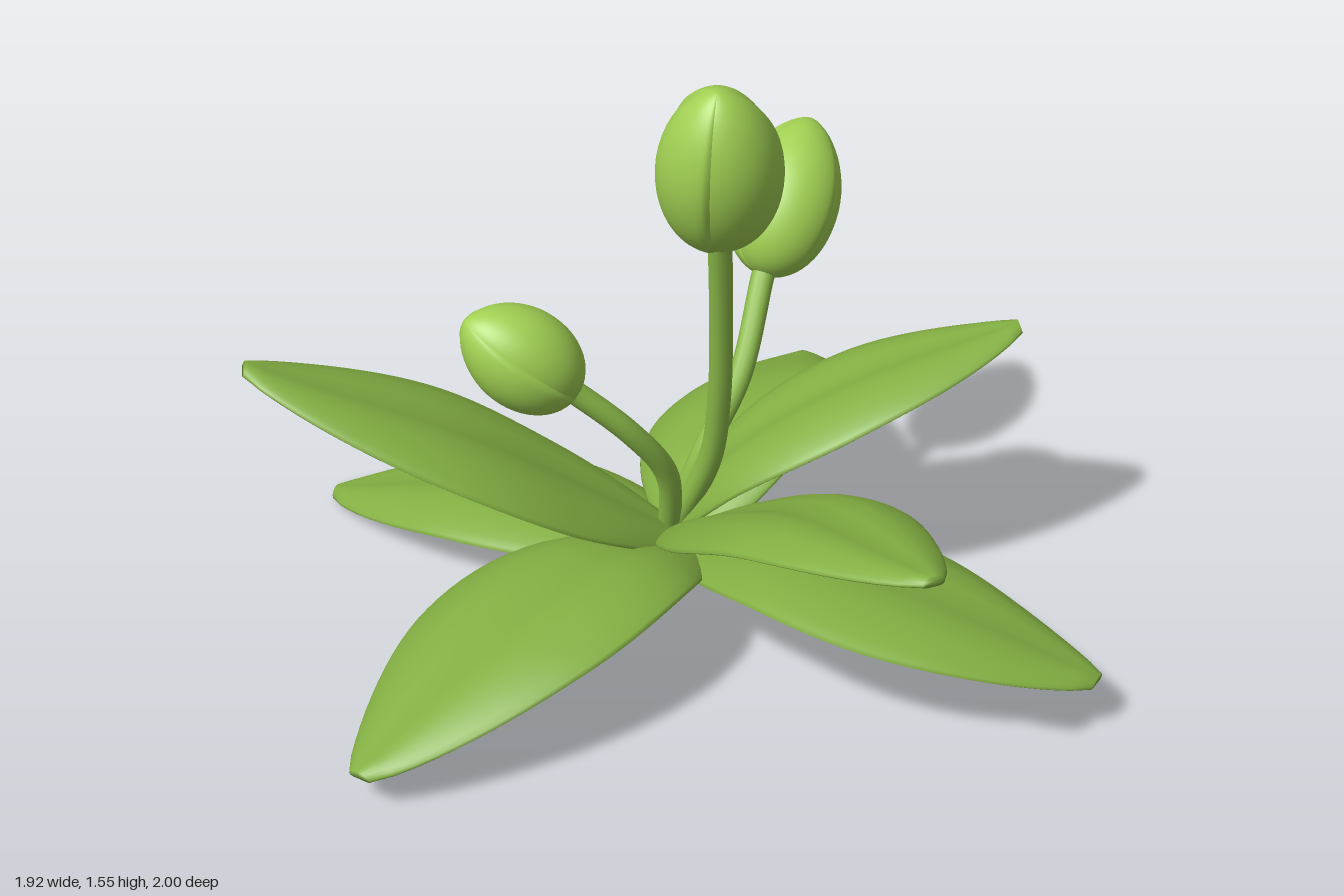
import * as THREE from 'three';

const V = (p) => new THREE.Vector3(...p);
const UP = new THREE.Vector3(0, 1, 0);

// Fleshy leaf: thin arched cross-sections swept along a curve, creased along the midrib.
// roll > 0 lifts the side on the right when looking outwards; peak shifts the widest point.
function leafGeometry({ path, width, roll, peak }) {
  const curve = new THREE.CatmullRomCurve3(path.map(V));
  const rows = 28, cols = 28, pos = [], index = [];
  for (let i = 0; i <= rows; i++) {
    const t = i / rows;
    const c = curve.getPointAt(t), tangent = curve.getTangentAt(t);
    const side = tangent.clone().cross(UP).normalize().applyAxisAngle(tangent, -roll);
    const normal = side.clone().cross(tangent);
    const swell = Math.pow(Math.max(0, Math.sin(Math.PI * Math.pow(t, peak))), 0.82);
    const w = width * (0.12 + 0.88 * swell);
    const thick = 0.013 + 0.014 * swell;
    for (let j = 0; j < cols; j++) {
      const a = (j / cols) * Math.PI * 2;
      const x = Math.cos(a);
      const arch = 0.2 * w * (0.35 - x * x);
      const crease = -0.028 * swell * Math.exp(-x * x * 12);
      const p = c.clone().addScaledVector(side, w * x)
        .addScaledVector(normal, thick * Math.sin(a) + arch + crease);
      pos.push(p.x, p.y, p.z);
    }
  }
  for (let i = 0; i < rows; i++) {
    for (let j = 0; j < cols; j++) {
      const k = (j + 1) % cols;
      const a = i * cols + j, b = a + cols, c = i * cols + k, d = c + cols;
      index.push(a, b, c, c, b, d);
    }
  }
  // close both ends
  const base = pos.length / 3, tip = base + 1, last = rows * cols;
  pos.push(...path[0], ...path[path.length - 1]);
  for (let j = 0; j < cols; j++) {
    const k = (j + 1) % cols;
    index.push(base, j, k, tip, last + k, last + j);
  }
  const g = new THREE.BufferGeometry();
  g.setAttribute('position', new THREE.Float32BufferAttribute(pos, 3));
  g.setIndex(index);
  g.computeVertexNormals();
  return g;
}

// One of three bud petals: a pointed egg sector whose far edge laps over its neighbour.
function petalGeometry(radius, length) {
  const g = new THREE.SphereGeometry(1, 28, 28, 0, Math.PI * 2 / 3 + 0.25);
  const p = g.attributes.position, uv = g.attributes.uv;
  for (let i = 0; i < p.count; i++) {
    const y = p.getY(i), u = uv.getX(i);
    const lip = Math.max(0, (u - 0.93) / 0.07);
    const lap = 0.91 + 0.11 * Math.sqrt(Math.min(1, Math.max(0, u))) - 0.12 * lip * lip;
    const point = y > 0 ? Math.pow(Math.max(0, 1 - y * y), 0.12) : 1;
    const r = radius * lap * point * (1 - 0.08 * y);
    p.setXYZ(i, p.getX(i) * r, (y + 1) / 2 * length, p.getZ(i) * r);
  }
  g.computeVertexNormals();
  return g;
}

export function createModel() {
  const model = new THREE.Group();
  const mat = (name, color) => {
    const m = new THREE.MeshStandardMaterial({ color });
    m.name = name;
    return m;
  };
  const leafGreen = mat('leaf green', 0x84b043);
  const stemGreen = mat('stem green', 0x8fbe4b);
  const budGreen = mat('bud green', 0xa2d153);
  const add = (parent, name, geometry, material) => {
    const mesh = new THREE.Mesh(geometry, material);
    mesh.name = name;
    parent.add(mesh);
    return mesh;
  };

  const leaves = [
    // drooping lower leaves
    { name: 'lowerLeafBack', width: 0.265, roll: -0.12, peak: 1.0,
      path: [[0.17, 0.11, 0.0], [0.11, 0.145, -0.3], [0.01, 0.135, -0.62], [-0.16, 0.025, -0.99]] },
    { name: 'lowerLeafLeft', width: 0.26, roll: 0.32, peak: 1.03,
      path: [[0.14, 0.15, -0.04], [0.38, 0.265, -0.17], [0.64, 0.285, -0.275], [0.95, 0.2, -0.39]] },
    { name: 'lowerLeafFront', width: 0.34, roll: 0.26, peak: 0.9,
      path: [[0.16, 0.14, -0.05], [0.24, 0.24, 0.28], [0.31, 0.22, 0.63], [0.42, 0.14, 0.99]] },
    { name: 'lowerLeafRight', width: 0.29, roll: -0.2, peak: 0.92,
      path: [[0.16, 0.14, -0.04], [-0.15, 0.26, -0.04], [-0.5, 0.24, -0.03], [-0.95, 0.1, 0.0]] },
    // raised upper leaves
    { name: 'upperLeafLeft', width: 0.23, roll: 0.14, peak: 1.05,
      path: [[0.14, 0.18, -0.1], [0.26, 0.39, 0.0], [0.47, 0.56, 0.17], [0.79, 0.695, 0.43]] },
    { name: 'upperLeafFront', width: 0.228, roll: 0.06, peak: 1.0,
      path: [[0.13, 0.18, -0.08], [0.05, 0.39, 0.2], [-0.03, 0.57, 0.5], [-0.18, 0.71, 0.97]] },
    { name: 'upperLeafRight', width: 0.25, roll: -0.05, peak: 0.95,
      path: [[0.14, 0.18, -0.04], [-0.08, 0.37, -0.2], [-0.31, 0.55, -0.37], [-0.67, 0.75, -0.67]] },
  ];
  for (const leaf of leaves) add(model, leaf.name, leafGeometry(leaf), leafGreen);

  // each flower stalk: a bent stem carrying one bud
  const stalks = [
    { name: 'tallStalk', radius: 0.14, phase: 0.4, tip: [-0.09, 1.56, 0.26],
      stem: [[0.14, 0.16, -0.1], [0.135, 0.45, 0.04], [0.11, 0.65, 0.09], [0.07, 0.9, 0.13], [0.02, 1.14, 0.17]] },
    { name: 'middleStalk', radius: 0.132, phase: 1.5, tip: [0.67, 1.09, -0.14],
      stem: [[0.13, 0.16, -0.1], [0.19, 0.42, -0.03], [0.29, 0.59, -0.01], [0.42, 0.79, -0.06]] },
    { name: 'shortStalk', radius: 0.117, phase: 0.9, tip: [-0.35, 0.905, -0.265],
      stem: [[0.13, 0.16, -0.09], [0.06, 0.41, -0.03], [-0.04, 0.56, -0.05], [-0.15, 0.69, -0.12]] },
  ];
  for (const s of stalks) {
    const group = new THREE.Group();
    group.name = s.name;
    model.add(group);
    const end = V(s.stem[s.stem.length - 1]);
    const axis = V(s.tip).sub(end);
    const length = axis.length();
    axis.normalize();
    // the stem runs slightly into its bud
    const points = [...s.stem.map(V), end.clone().addScaledVector(axis, 0.04)];
    add(group, 'stem', new THREE.TubeGeometry(new THREE.CatmullRomCurve3(points), 32, 0.028, 12), stemGreen);
    const bud = new THREE.Group();
    bud.name = 'bud';
    group.add(bud);
    const petal = petalGeometry(s.radius, length);
    for (let i = 0; i < 3; i++) {
      add(bud, 'petal', petal, budGreen).rotation.y = s.phase + i * Math.PI * 2 / 3;
    }
    bud.position.copy(end);
    bud.quaternion.setFromUnitVectors(UP, axis);
  }
  return model;
}
